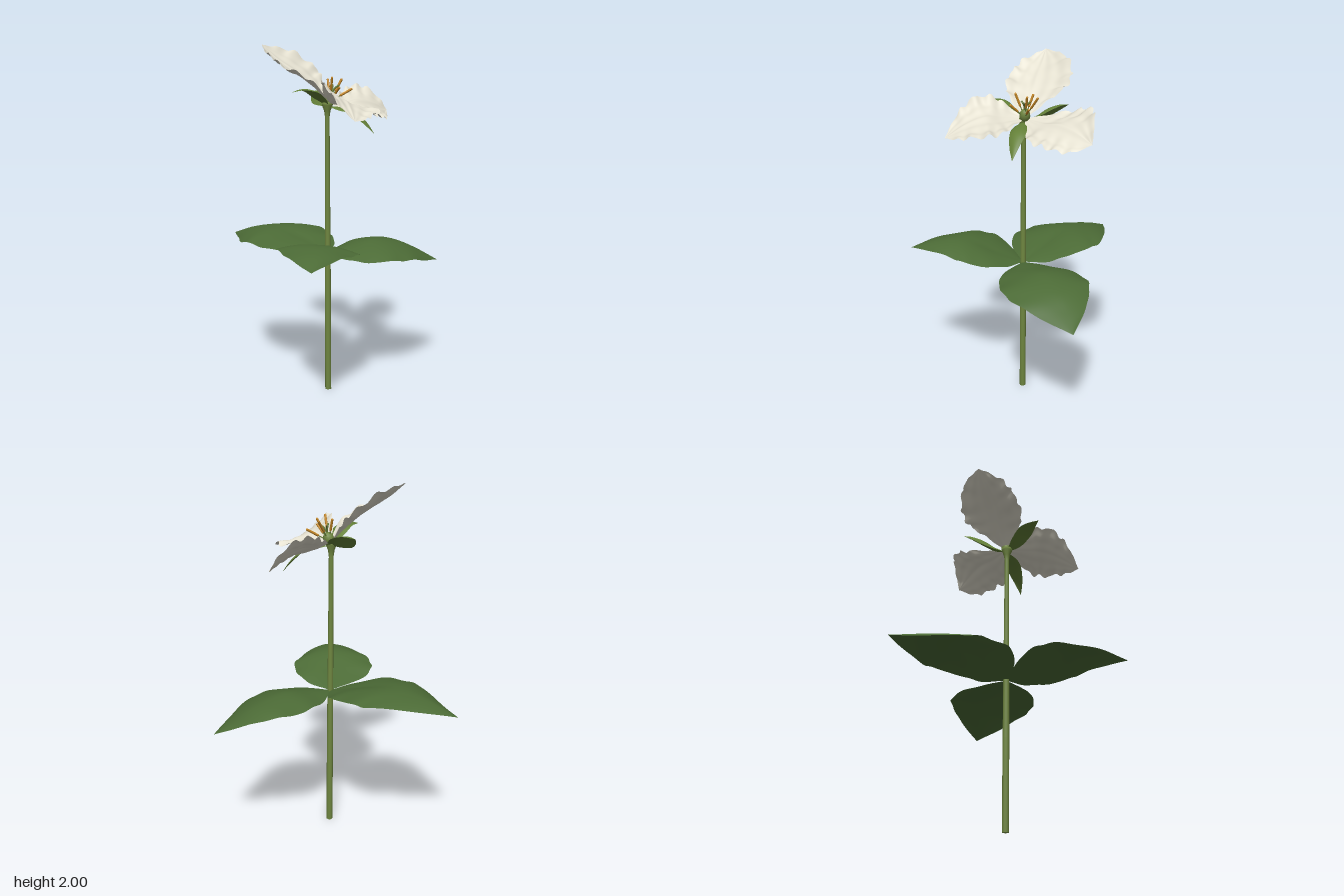
import * as THREE from 'three';

const mat = (name, color, side = THREE.FrontSide) => {
  const m = new THREE.MeshStandardMaterial({ color, side });
  m.name = name;
  return m;
};
const V = (p) => new THREE.Vector3(...p);
const curve = (pts) => new THREE.CatmullRomCurve3(pts.map(V), false, 'centripetal');

// Blade lofted over one edge, the midrib and the other edge, all sharing base and tip
function blade(name, material, base, tip, sides, mid, o = {}) {
  const { nu = 40, nv = 8, bulge = 0, ripple = 0, waves = 6, pleat = 0, scallop = 0 } = o;
  const [a, m, b] = [sides[0], mid, sides[1]].map((p) => curve([base, ...p, tip]));
  const pos = [], index = [];
  for (let i = 0; i <= nu; i++) {
    const u = i / nu, swell = Math.sin(Math.PI * u);
    const c = m.getPoint(u), ends = [a.getPoint(u), b.getPoint(u)];
    for (let j = -nv; j <= nv; j++) {
      const t = Math.abs(j) / nv, s = j < 0 ? 0 : 1;
      const phase = u * waves * 2 * Math.PI + s * 1.7;
      const p = c.clone().lerp(ends[s], t * (1 + scallop * t * swell * Math.sin(phase * 1.5)));
      p.y += swell * (bulge * 4 * t * (1 - t) + ripple * t * t * Math.sin(phase)
        + pleat * Math.cos(t * 14 + s));
      pos.push(p.x, p.y, p.z);
      if (i < nu && j < nv) {
        const w = 2 * nv + 1, k = i * w + j + nv;
        index.push(k, k + w, k + 1, k + 1, k + w, k + w + 1);
      }
    }
  }
  const g = new THREE.BufferGeometry();
  g.setAttribute('position', new THREE.Float32BufferAttribute(pos, 3));
  g.setIndex(index);
  g.computeVertexNormals();
  const mesh = new THREE.Mesh(g, material);
  mesh.name = name;
  return mesh;
}

function tube(name, material, pts, r) {
  const mesh = new THREE.Mesh(new THREE.TubeGeometry(curve(pts), 10, r, 7), material);
  mesh.name = name;
  return mesh;
}

export function createModel() {
  const root = new THREE.Group();
  root.name = 'threePetalledFlower';
  const stemGreen = mat('stem green', 0x6f8640);
  const leafGreen = mat('leaf green', 0x4c6b36, THREE.DoubleSide);
  const sepalGreen = mat('sepal green', 0x648038, THREE.DoubleSide);
  const petalWhite = mat('petal cream', 0xe4e0d0, THREE.DoubleSide);
  const antherGold = mat('anther gold', 0xc98a26);

  // Stem with a flared top
  const stem = new THREE.Mesh(new THREE.LatheGeometry([
    [0, 0], [0.018, 0], [0.018, 0.5], [0.0165, 0.83], [0.0145, 1.2], [0.013, 1.6],
    [0.018, 1.635], [0.03, 1.665], [0.03, 1.68], [0, 1.69],
  ].map(([x, y]) => new THREE.Vector2(x, y)), 14), stemGreen);
  stem.name = 'stem';
  stem.position.set(-0.073, 0, -0.048);
  root.add(stem);

  // Whorl of three leaves
  const node = [-0.073, 0.83, -0.048];
  const leafStyle = { bulge: 0.012, ripple: 0.004, waves: 4, scallop: 0.012 };
  root.add(
    blade('backLeaf', leafGreen, node, [-0.615, 0.845, -0.605], [
      [[-0.25, 0.845, 0], [-0.42, 0.865, -0.02], [-0.51, 0.875, -0.13], [-0.565, 0.865, -0.22], [-0.59, 0.85, -0.42]],
      [[-0.02, 0.85, -0.2], [-0.03, 0.88, -0.3], [-0.09, 0.9, -0.44], [-0.15, 0.905, -0.505], [-0.4, 0.885, -0.58]],
    ], [[-0.2, 0.885, -0.18], [-0.35, 0.93, -0.33], [-0.48, 0.91, -0.465]], leafStyle),
    blade('leftLeaf', leafGreen, node, [0.615, 0.72, -0.255], [
      [[0, 0.83, -0.2], [0.1, 0.84, -0.31], [0.22, 0.84, -0.38], [0.33, 0.83, -0.375], [0.47, 0.785, -0.335]],
      [[0.02, 0.81, 0.06], [0.13, 0.8, 0.1], [0.27, 0.8, 0.09], [0.38, 0.79, 0.03], [0.5, 0.755, -0.1]],
    ], [[0.06, 0.855, -0.09], [0.21, 0.88, -0.14], [0.38, 0.845, -0.2], [0.5, 0.785, -0.23]], leafStyle),
    blade('frontLeaf', leafGreen, node, [-0.212, 0.88, 0.605], [
      [[-0.29, 0.86, 0.03], [-0.36, 0.89, 0.1], [-0.37, 0.91, 0.18], [-0.345, 0.915, 0.32], [-0.29, 0.905, 0.47]],
      [[0.03, 0.845, 0.06], [0.075, 0.87, 0.18], [0.06, 0.89, 0.29], [0, 0.9, 0.37], [-0.1, 0.9, 0.49]],
    ], [[-0.11, 0.89, 0.12], [-0.15, 0.95, 0.29], [-0.18, 0.935, 0.45]], leafStyle),
  );

  // Three ruffled petals
  const heart = [-0.065, 1.675, -0.053];
  const petalStyle = { nu: 64, nv: 20, ripple: 0.011, waves: 6, pleat: 0.0025, scallop: 0.04, bulge: -0.01 };
  root.add(
    blade('rightPetal', petalWhite, heart, [-0.425, 1.995, -0.2], [
      [[-0.13, 1.77, 0.02], [-0.22, 1.83, 0.04], [-0.33, 1.885, 0], [-0.38, 1.93, -0.05], [-0.415, 1.965, -0.13]],
      [[-0.08, 1.77, -0.18], [-0.09, 1.83, -0.26], [-0.13, 1.885, -0.31], [-0.24, 1.96, -0.31], [-0.34, 1.985, -0.27]],
    ], [[-0.15, 1.77, -0.1], [-0.24, 1.85, -0.13], [-0.34, 1.92, -0.17]], petalStyle),
    blade('leftPetal', petalWhite, heart, [0.31, 1.625, -0.365], [
      [[0.0, 1.72, -0.22], [0.05, 1.745, -0.32], [0.11, 1.77, -0.375], [0.18, 1.76, -0.39], [0.27, 1.69, -0.378]],
      [[0.06, 1.63, -0.05], [0.18, 1.62, -0.05], [0.23, 1.6, -0.12], [0.27, 1.59, -0.18], [0.3, 1.585, -0.26]],
    ], [[0.03, 1.67, -0.13], [0.12, 1.685, -0.21], [0.22, 1.665, -0.29]], petalStyle),
    blade('frontPetal', petalWhite, heart, [0.03, 1.6, 0.378], [
      [[-0.105, 1.745, 0.04], [-0.115, 1.785, 0.11], [-0.12, 1.79, 0.2], [-0.085, 1.74, 0.28], [-0.04, 1.67, 0.335]],
      [[0.04, 1.665, 0.01], [0.13, 1.65, 0.07], [0.185, 1.645, 0.15], [0.145, 1.63, 0.24], [0.1, 1.61, 0.31]],
    ], [[-0.03, 1.685, 0.07], [0.005, 1.7, 0.16], [0.02, 1.665, 0.27]], petalStyle),
  );

  // Three narrow sepals between the petals
  const cup = [-0.07, 1.66, -0.05], sepalStyle = { nu: 20, nv: 4, bulge: 0.004 };
  root.add(
    blade('frontSepal', sepalGreen, cup, [-0.275, 1.74, 0.14], [
      [[-0.15, 1.705, -0.015], [-0.21, 1.745, 0.035], [-0.25, 1.745, 0.09]],
      [[-0.08, 1.69, 0.03], [-0.13, 1.735, 0.095], [-0.21, 1.75, 0.125]],
    ], [[-0.12, 1.705, 0], [-0.175, 1.75, 0.055], [-0.225, 1.755, 0.1]], sepalStyle),
    blade('leftSepal', sepalGreen, cup, [0.18, 1.51, 0.03], [
      [[0.0, 1.65, -0.06], [0.08, 1.63, -0.05], [0.14, 1.575, -0.01]],
      [[-0.02, 1.64, 0.01], [0.05, 1.62, 0.035], [0.12, 1.565, 0.04]],
    ], [[-0.01, 1.655, -0.03], [0.07, 1.635, -0.005], [0.135, 1.575, 0.017]], sepalStyle),
    blade('backSepal', sepalGreen, cup, [-0.135, 1.735, -0.3], [
      [[-0.11, 1.66, -0.12], [-0.145, 1.67, -0.19], [-0.15, 1.7, -0.25]],
      [[-0.035, 1.69, -0.12], [-0.04, 1.72, -0.18], [-0.08, 1.74, -0.25]],
    ], [[-0.075, 1.69, -0.12], [-0.09, 1.725, -0.18], [-0.115, 1.74, -0.25]], sepalStyle),
  );

  // Ovary with curling stigmas
  const ovary = new THREE.Mesh(new THREE.SphereGeometry(0.03, 14, 10), stemGreen);
  ovary.name = 'ovary';
  ovary.scale.y = 1.3;
  ovary.position.set(-0.058, 1.695, -0.053);
  ovary.rotation.z = -0.3;
  root.add(ovary);
  for (let i = 0; i < 3; i++) {
    const a = i * Math.PI * 2 / 3 + 0.4, c = Math.cos(a), s = Math.sin(a);
    root.add(tube('stigma', stemGreen, [[-0.05, 1.72, -0.053],
      [-0.043 + 0.01 * c, 1.755, -0.053 + 0.01 * s], [-0.035 + 0.03 * c, 1.775, -0.053 + 0.03 * s]], 0.005));
  }

  // Six stamens: thin filament below, golden anther above
  const tips = [[-0.065, 1.81, -0.1], [0.015, 1.805, -0.118], [0.068, 1.755, -0.065],
    [-0.012, 1.765, 0.03], [-0.05, 1.82, 0], [0.01, 1.81, -0.06]];
  for (const tip of tips) {
    const from = V([-0.058, 1.685, -0.053]), to = V(tip);
    const joint = from.clone().lerp(to, 0.45);
    root.add(tube('filament', stemGreen, [from.toArray(), joint.toArray()], 0.003));
    const anther = new THREE.Mesh(new THREE.CapsuleGeometry(0.0065, joint.distanceTo(to) - 0.012, 4, 8), antherGold);
    anther.name = 'anther';
    anther.position.copy(joint).lerp(to, 0.5);
    anther.quaternion.setFromUnitVectors(new THREE.Vector3(0, 1, 0), to.clone().sub(joint).normalize());
    root.add(anther);
  }
  return root;
}
